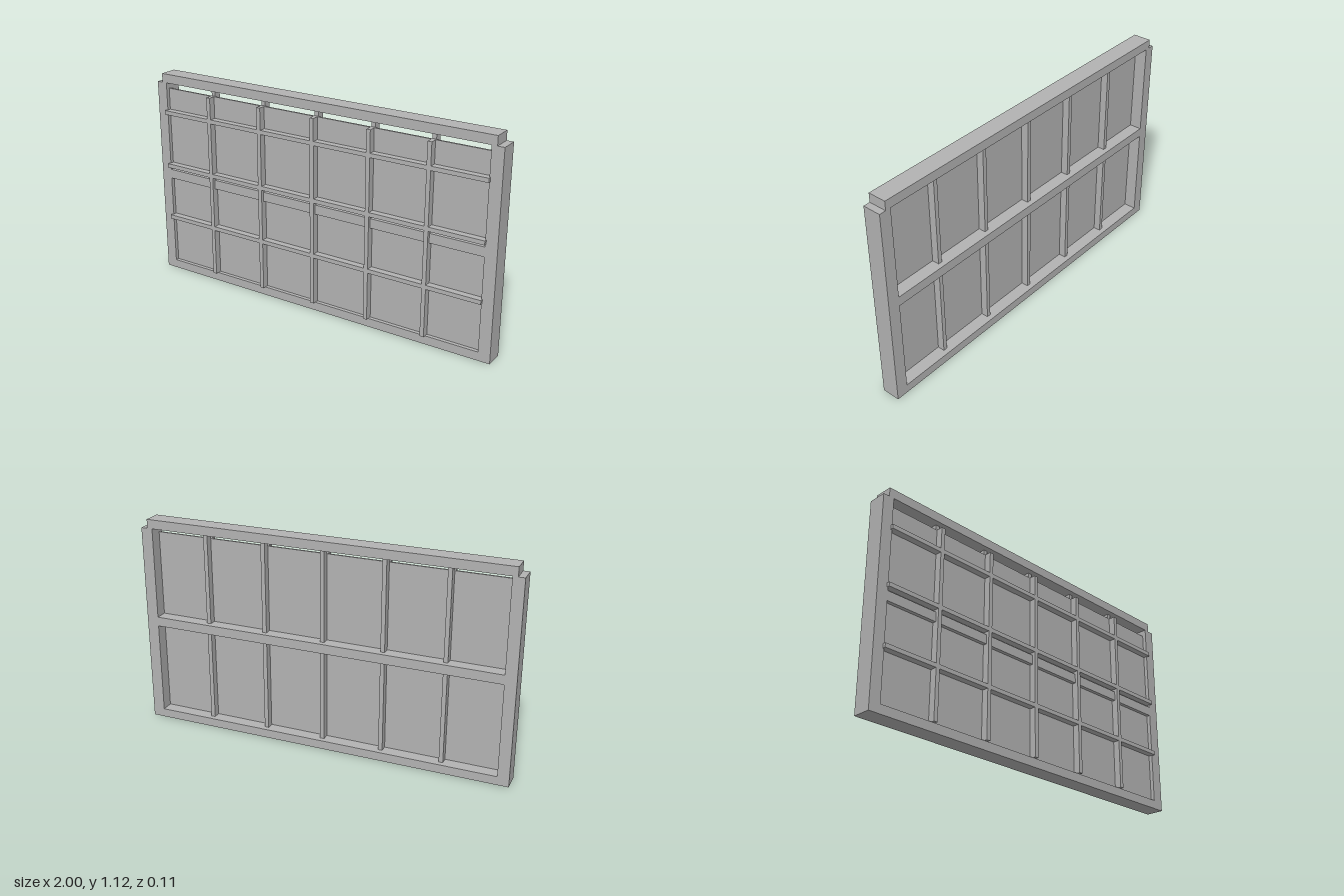
import * as THREE from 'three';

export function createModel() {
  const model = new THREE.Group();
  model.name = 'griddedWallPanel';
  const grey = new THREE.MeshStandardMaterial({ color: 0xb2b2b2 });
  grey.name = 'grey';

  // box given by its lower and upper limits on each axis
  function box(name, x0, x1, y0, y1, z0, z1) {
    const mesh = new THREE.Mesh(new THREE.BoxGeometry(x1 - x0, y1 - y0, z1 - z0), grey);
    mesh.position.set((x0 + x1) / 2, (y0 + y1) / 2, (z0 + z1) / 2);
    mesh.name = name;
    model.add(mesh);
  }

  const back = -0.056, front = 0.04, barFront = 0.056;
  const left = -0.94, right = 0.937;
  const panelBack = 0.01, panelFront = 0.02;
  const bottom = 0.046, railLow = 0.54, railHigh = 0.59, panelTop = 1.044, beamLow = 1.077;

  // outer frame with notched top corners and two openings around the middle rail
  const outline = new THREE.Shape([
    [-1, 0], [1, 0], [1, beamLow], [0.965, beamLow], [0.965, 1.125],
    [-0.967, 1.125], [-0.967, beamLow], [-1, beamLow],
  ].map(([x, y]) => new THREE.Vector2(x, y)));
  for (const [y0, y1] of [[bottom, railLow], [railHigh, beamLow]]) {
    outline.holes.push(new THREE.Path([
      [left, y0], [left, y1], [right, y1], [right, y0],
    ].map(([x, y]) => new THREE.Vector2(x, y))));
  }
  const frameGeometry = new THREE.ExtrudeGeometry(outline, { depth: front - back, bevelEnabled: false });
  frameGeometry.translate(0, 0, back);
  const frame = new THREE.Mesh(frameGeometry, grey);
  frame.name = 'frame';
  model.add(frame);

  // infill sheets; the upper one stops short of the top beam
  box('lowerSheet', left, right, bottom, railLow, panelBack, panelFront);
  box('upperSheet', left, right, railHigh, panelTop, panelBack, panelFront);

  // vertical battens on the front, and studs behind the sheets
  for (const x of [-0.645, -0.323, -0.001, 0.32, 0.643]) {
    const x0 = x - 0.011, x1 = x + 0.011;
    box('verticalBatten', x0, x1, bottom, panelTop, panelFront, barFront);
    box('lowerStud', x0, x1, bottom, railLow, -0.028, panelBack);
    box('upperStud', x0, x1, railHigh, beamLow, -0.028, panelBack);
  }

  // horizontal battens on the front
  for (const y of [0.315, 0.616, 0.917]) {
    box('horizontalBatten', -0.947, 0.942, y - 0.011, y + 0.011, panelFront, barFront);
  }
  return model;
}
